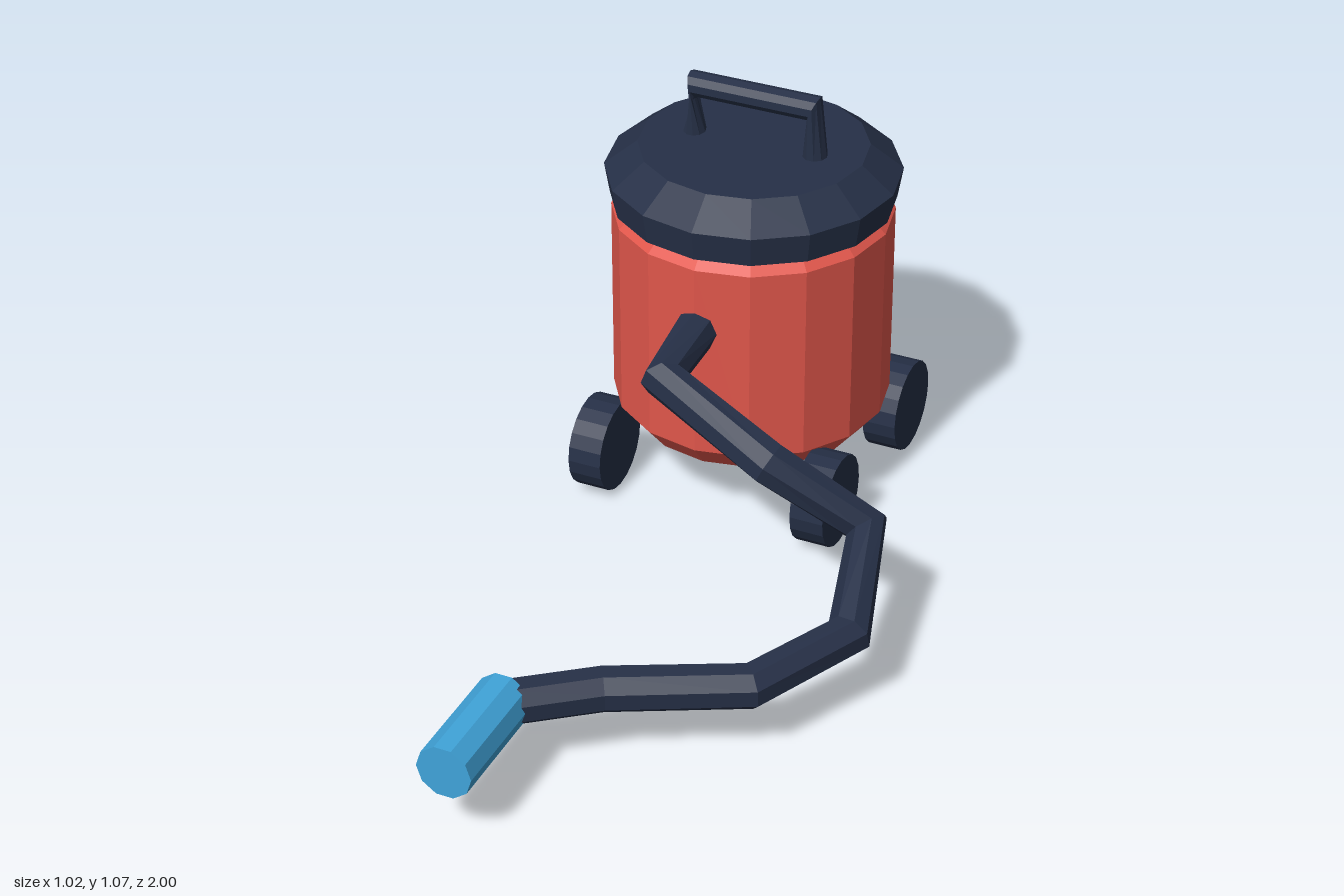
import * as THREE from 'three';

// Faceted normals for the low-poly look
function facet(geometry) {
  const g = geometry.index ? geometry.toNonIndexed() : geometry;
  g.computeVertexNormals();
  return g;
}

// Path that bends sharply at each given point
class BentPath extends THREE.Curve {
  constructor(points) {
    super();
    this.points = points.map((p) => new THREE.Vector3(...p));
  }
  getPointAt(u, target = new THREE.Vector3()) {
    const n = this.points.length - 1;
    const i = Math.min(Math.floor(u * n + 1e-6), n - 1);
    return target.lerpVectors(this.points[i], this.points[i + 1], u * n - i);
  }
  getPoint(u, target) {
    return this.getPointAt(u, target);
  }
  getTangentAt(u, target = new THREE.Vector3()) {
    const n = this.points.length - 1;
    const i = Math.round(u * n);
    const before = this.points[Math.max(i - 1, 0)];
    const here = this.points[i];
    const after = this.points[Math.min(i + 1, n)];
    const a = here.clone().sub(before).normalize();
    const b = after.clone().sub(here).normalize();
    return target.addVectors(a, b).normalize();
  }
}

// Skin through oval rings; each ring is [centreX, centreY, axisX, axisY], with depth along z
function skinRings(rings, depth, sides) {
  const positions = [];
  const index = [];
  rings.forEach(([cx, cy, ux, uy], r) => {
    for (let s = 0; s < sides; s++) {
      const a = (s / sides) * Math.PI * 2;
      positions.push(cx + ux * Math.cos(a), cy + uy * Math.cos(a), depth * Math.sin(a));
      if (r === 0) continue;
      const t = (s + 1) % sides;
      const p = (r - 1) * sides;
      const q = r * sides;
      index.push(p + s, q + s, p + t, p + t, q + s, q + t);
    }
  });
  const g = new THREE.BufferGeometry();
  g.setAttribute('position', new THREE.Float32BufferAttribute(positions, 3));
  g.setIndex(index);
  return g;
}

export function createModel() {
  const red = new THREE.MeshStandardMaterial({ color: 0xe0564b });
  red.name = 'tank red';
  const navy = new THREE.MeshStandardMaterial({ color: 0x263047, side: THREE.DoubleSide });
  navy.name = 'dark navy';
  const blue = new THREE.MeshStandardMaterial({ color: 0x40a4da });
  blue.name = 'nozzle blue';

  const model = new THREE.Group();
  model.name = 'vacuumCleaner';
  const add = (name, geometry, material, x = 0, y = 0, z = 0) => {
    const mesh = new THREE.Mesh(facet(geometry), material);
    mesh.name = name;
    mesh.position.set(x, y, z);
    model.add(mesh);
    return mesh;
  };
  const lathe = (profile) =>
    new THREE.LatheGeometry(profile.map(([r, y]) => new THREE.Vector2(r, y)), 16);

  const cx = -0.147;
  const cz = -0.638;

  // Bevelled tank and its overhanging lid
  add('tank', lathe([[0, 0.175], [0.295, 0.175], [0.345, 0.237], [0.345, 0.742], [0.295, 0.79], [0, 0.79]]),
    red, cx, 0, cz);
  add('lid', lathe([[0, 0.775], [0.348, 0.775], [0.361, 0.852], [0.28, 0.915], [0, 0.915]]),
    navy, cx, 0, cz);

  // Carrying handle: two tapering posts joined by a bar, the first post pinched below its corner
  add('handle', skinRings([
    [-0.303, 0.9, -0.032, 0],
    [-0.305, 1.04, 0.01, -0.031],
    [0.008, 1.04, -0.014, -0.031],
    [0.012, 0.9, -0.032, 0],
  ], 0.033, 10), navy, 0, 0, cz);

  // Four wheels
  for (const [side, x] of [['right', -0.444], ['left', 0.152]]) {
    for (const [end, z] of [['Front', -0.402], ['Back', -0.873]]) {
      const wheel = new THREE.CylinderGeometry(0.117, 0.117, 0.086, 20);
      wheel.rotateZ(Math.PI / 2);
      add(`${side}${end}Wheel`, wheel, navy, x, 0.118, z);
    }
  }

  // Hose winding from the tank to the nozzle
  const hosePath = new BentPath([
    [-0.147, 0.575, -0.32],
    [-0.143, 0.55, -0.11],
    [0.17, 0.458, -0.012],
    [0.39, 0.306, -0.075],
    [0.462, 0.205, 0.2],
    [0.328, 0.19, 0.45],
    [0.035, 0.19, 0.595],
    [-0.135, 0.19, 0.725],
  ]);
  add('hose', new THREE.TubeGeometry(hosePath, 7, 0.054, 8, false), navy);

  // Ten-sided nozzle
  const nozzle = new THREE.CylinderGeometry(0.067, 0.067, 0.285, 10);
  nozzle.rotateY(Math.PI / 2).rotateX(Math.PI / 2);
  add('nozzle', nozzle, blue, cx, 0.19, 0.8575);

  return model;
}
